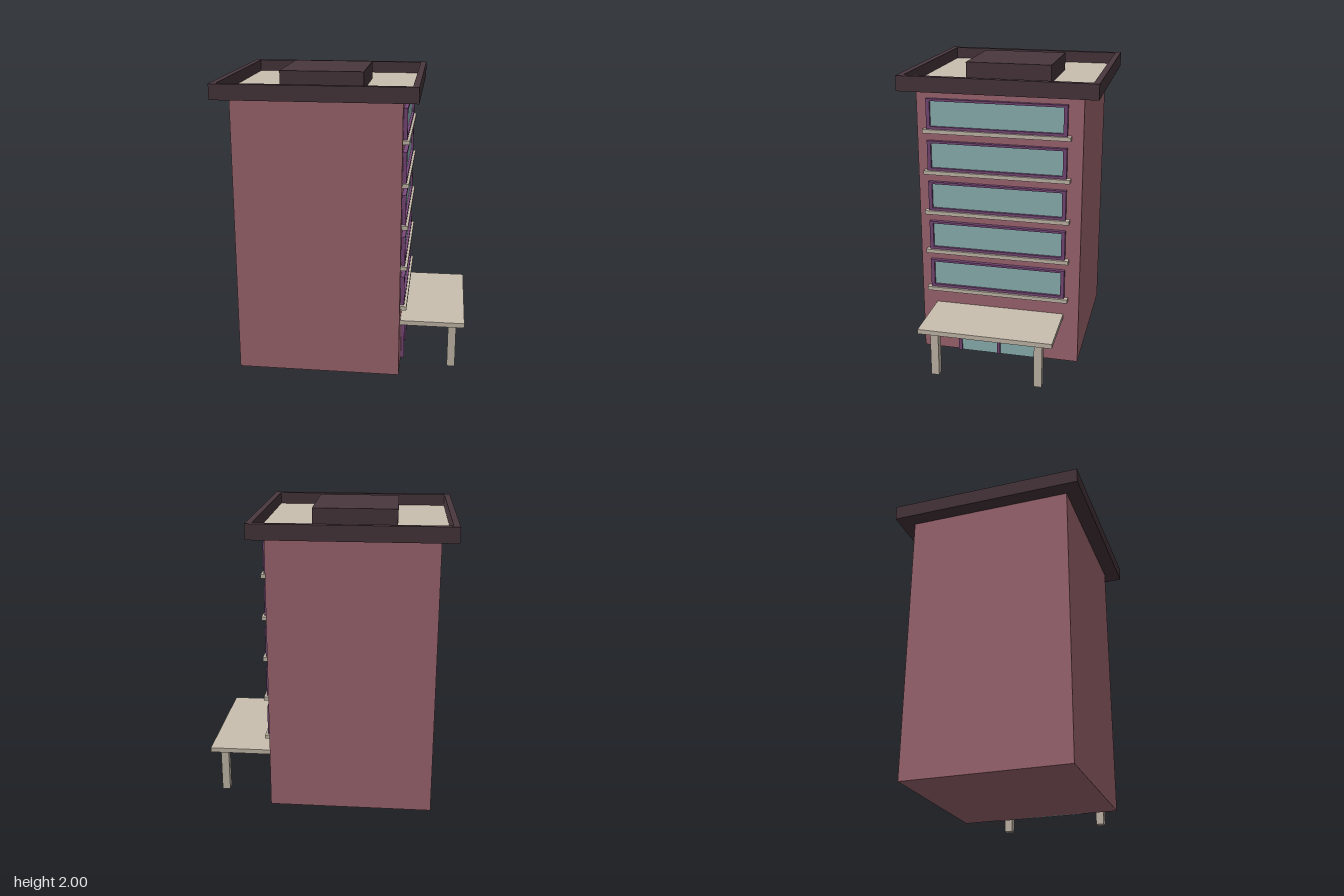
import * as THREE from 'three';

const paint = (color) => new THREE.MeshStandardMaterial({ color });

// Rectangular ring in the XY plane, extruded along +z
function ring(w, h, side, top, bottom, depth) {
  const rect = (P, x0, x1, y0, y1) => {
    const p = new P();
    p.moveTo(x0, y0); p.lineTo(x1, y0); p.lineTo(x1, y1); p.lineTo(x0, y1); p.closePath();
    return p;
  };
  const shape = rect(THREE.Shape, -w / 2, w / 2, 0, h);
  shape.holes.push(rect(THREE.Path, -w / 2 + side, w / 2 - side, bottom, h - top));
  return new THREE.ExtrudeGeometry(shape, { depth, bevelEnabled: false });
}

export function createModel() {
  const group = new THREE.Group();
  const brick = paint(0xa56b75), stone = paint(0xcbc0b0), dark = paint(0x4a383e);
  const glass = paint(0x93bbba), purple = paint(0x7a4a7c);

  const add = (name, geometry, material, parent = group) => {
    const mesh = new THREE.Mesh(geometry, material);
    mesh.name = name;
    parent.add(mesh);
    return mesh;
  };
  // Box given by its minimum and maximum on each axis
  const box = (name, material, [x0, x1], [y0, y1], [z0, z1], parent) => {
    const mesh = add(name, new THREE.BoxGeometry(x1 - x0, y1 - y0, z1 - z0), material, parent);
    mesh.position.set((x0 + x1) / 2, (y0 + y1) / 2, (z0 + z1) / 2);
    return mesh;
  };

  // Main block
  const wall = 0.38;
  box('building', brick, [-0.71, wall], [0, 1.86], [-0.55, 0.55]);

  // Roof: dark slab, parapet, pale deck and raised plant box
  box('roofSlab', dark, [-0.79, 0.46], [1.86, 1.87], [-0.63, 0.63]);
  const parapet = add('parapet', ring(1.29, 1.3, 0.04, 0.04, 0.04, 0.1), dark);
  parapet.rotation.x = -Math.PI / 2;
  parapet.position.set(-0.165, 1.86, 0.65);
  box('roofDeck', stone, [-0.775, 0.445], [1.87, 1.88], [-0.615, 0.615]);
  box('roofBox', dark, [-0.44, 0.11], [1.88, 2], [-0.29, 0.29]);

  // Five rows of windows, each with frame, recessed glass and sill
  for (let i = 0; i < 5; i++) {
    const floor = new THREE.Group();
    floor.name = 'window' + (i + 1);
    floor.position.y = 0.482 + i * 0.2805;
    const frame = add('windowFrame', ring(0.93, 0.201, 0.025, 0.015, 0.018, 0.026), purple, floor);
    frame.rotation.y = Math.PI / 2;
    frame.position.set(wall, 0, 0.015);
    box('windowGlass', glass, [wall - 0.01, wall + 0.01], [0.01, 0.19], [-0.435, 0.465], floor);
    box('windowSill', stone, [wall, wall + 0.042], [-0.026, 0], [-0.475, 0.505], floor);
    group.add(floor);
  }

  // Double entrance door
  const door = new THREE.Group();
  door.name = 'entrance';
  group.add(door);
  const front = [wall, wall + 0.022];
  box('doorGlass', glass, [wall - 0.01, wall + 0.01], [0, 0.27], [-0.28, 0.285], door);
  box('doorHead', purple, front, [0.263, 0.28], [-0.29, 0.295], door);
  for (const [z0, z1] of [[-0.29, -0.265], [-0.005, 0.015], [0.27, 0.295]]) {
    box('doorPost', purple, front, [0, 0.263], [z0, z1], door);
  }

  // Canopy on two posts
  box('canopy', stone, [wall, 0.81], [0.323, 0.355], [-0.445, 0.45]);
  for (const z of [-0.345, 0.355]) {
    box('canopyPost', stone, [0.703, 0.757], [0, 0.323], [z - 0.027, z + 0.027]);
  }
  return group;
}
